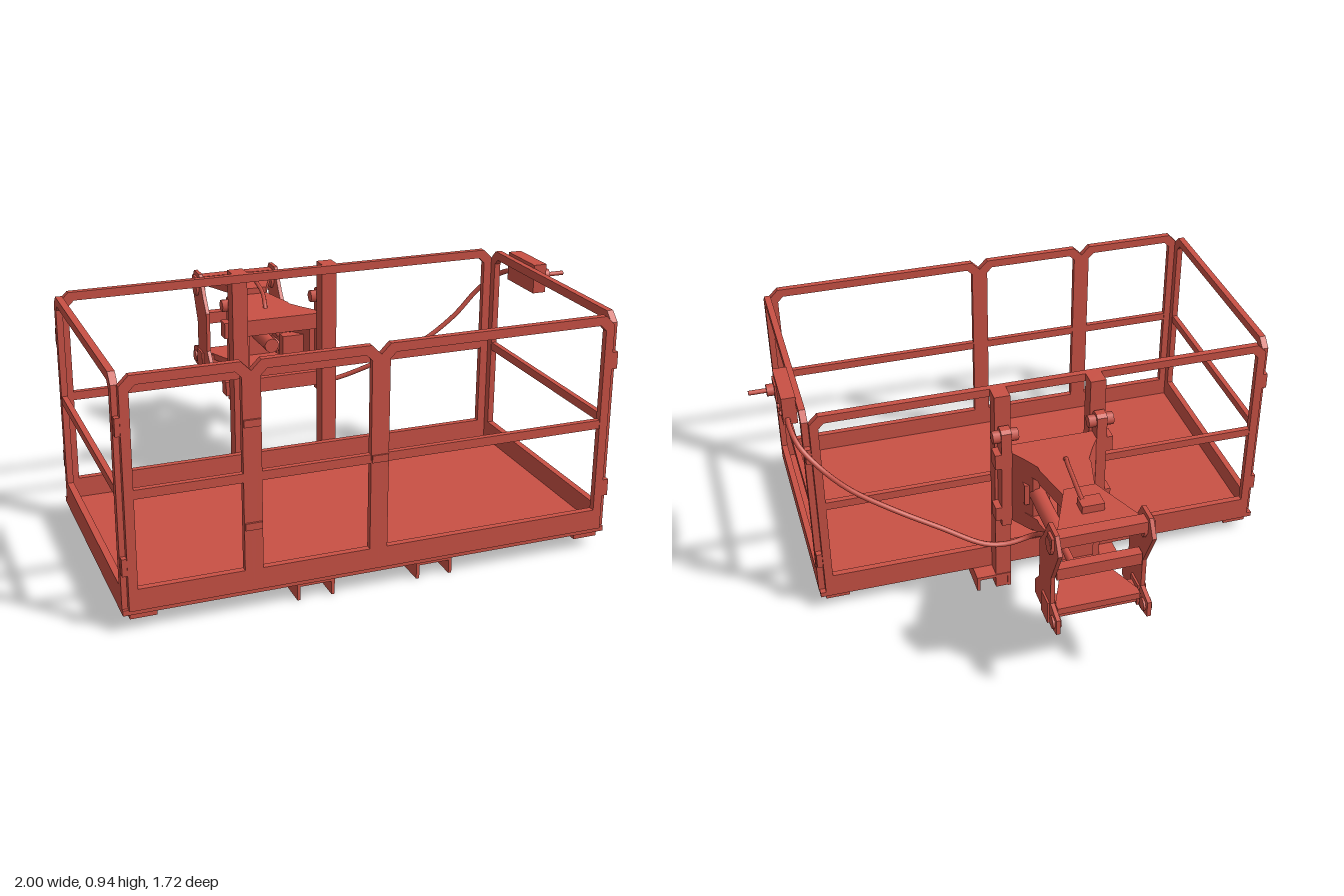
import * as THREE from 'three';

export function createModel() {
  const model = new THREE.Group();
  model.name = 'workBasket';
  const red = new THREE.MeshStandardMaterial({ color: 0xc95145 });
  red.name = 'red paint';
  const CX = -0.0785; // centre line of the mounting

  const add = (name, geo) => {
    const m = new THREE.Mesh(geo, red);
    m.name = name;
    model.add(m);
    return m;
  };
  // box from min/max corners
  const box = (name, x0, x1, y0, y1, z0, z1) =>
    add(name, new THREE.BoxGeometry(x1 - x0, y1 - y0, z1 - z0)
      .translate((x0 + x1) / 2, (y0 + y1) / 2, (z0 + z1) / 2));
  const polygon = (pts) => new THREE.Shape(pts.map(([a, b]) => new THREE.Vector2(a, b)));
  const extrude = (shape, depth) => new THREE.ExtrudeGeometry(shape, { depth, bevelEnabled: false });
  // horizontal plate from (x, z) outline
  const slab = (name, pts, y0, y1) =>
    add(name, extrude(polygon(pts), y1 - y0).rotateX(Math.PI / 2).translate(0, y1, 0));
  // upright plate from (z, y) outline
  const sidePlate = (name, pts, x0, x1) =>
    add(name, extrude(polygon(pts), x1 - x0).rotateY(-Math.PI / 2).translate(x1, 0, 0));
  // cylinder along x
  const rodX = (name, x0, x1, y, z, r, sides = 12) =>
    add(name, new THREE.CylinderGeometry(r, r, x1 - x0, sides).toNonIndexed()
      .rotateZ(Math.PI / 2).translate((x0 + x1) / 2, y, z));
  const rodZ = (name, x, y, z0, z1, r) =>
    add(name, new THREE.CylinderGeometry(r, r, z1 - z0, 14).rotateX(Math.PI / 2).translate(x, y, (z0 + z1) / 2));
  const hose = (name, pts, r) =>
    add(name, new THREE.TubeGeometry(
      new THREE.CatmullRomCurve3(pts.map((p) => new THREE.Vector3(...p))), 60, r, 8));

  // guard panel: chamfered frame with toe board and mid rail
  const panelGeo = (a, b) => {
    const w = 0.033, c = 0.035, y0 = 0.085, y1 = 0.922;
    const outline = (l, r, bot, top, k) =>
      [[l, bot], [r, bot], [r, top - k], [r - k, top], [l + k, top], [l, top - k]];
    const s = polygon(outline(a, b, y0, y1, c));
    s.holes.push(polygon(outline(a + w, b - w, 0.165, y1 - w, 0.022)));
    return extrude(s, 0.025);
  };

  // floor and corner feet
  box('floor', -1, 0.842, 0.066, 0.086, -0.13, 0.84);
  for (const [x, sx] of [[-0.975, 1], [0.82, -1]]) {
    for (const [z, sz] of [[0.83, -1], [-0.12, 1]]) {
      slab('cornerFoot', [[x, z], [x + sx * 0.095, z], [x + sx * 0.095, z + sz * 0.035],
        [x + sx * 0.035, z + sz * 0.095], [x, z + sz * 0.095]], 0.045, 0.066);
    }
  }

  // front panels, with a gate in the middle, and the back panel
  for (const [name, a, b, z] of [['frontLeftPanel', -0.08, 0.82, 0.827], ['gate', -0.54, -0.08, 0.827],
    ['frontRightPanel', -0.98, -0.54, 0.827], ['backPanel', -0.98, 0.82, -0.13]]) {
    add(name, panelGeo(a, b).translate(0, 0, z));
    box(name + 'MidRail', a + 0.03, b - 0.03, 0.492, 0.525, z + 0.002, z + 0.023);
  }
  // side panels
  for (const x of [-0.975, 0.845]) {
    add('sidePanel', panelGeo(-0.105, 0.828).rotateY(-Math.PI / 2).translate(x, 0, 0));
    box('sideMidRail', x - 0.023, x - 0.002, 0.492, 0.525, -0.08, 0.8);
  }
  // corner clamps
  for (const x of [-0.987, 0.832])
    for (const z of [-0.118, 0.838])
      for (const y of [0.25, 0.75]) {
        box('cornerClamp', x - 0.011, x + 0.011, y - 0.032, y + 0.032, z - 0.012, z + 0.012);
      }
  // gate hinges and latch
  for (const y of [0.33, 0.705]) {
    box('gateHinge', -0.57, -0.51, y - 0.013, y + 0.013, 0.85, 0.86);
  }
  box('gateLatch', -0.11, -0.05, 0.495, 0.522, 0.85, 0.858);

  // fork channels, uprights and their lugs
  for (const s of [-1, 1]) {
    const inner = CX + s * 0.158, outer = CX + s * 0.298;
    const lo = Math.min(inner, outer), hi = Math.max(inner, outer);
    box('forkChannelTop', lo, hi, 0.052, 0.066, -0.195, 0.83);
    box('forkChannelWall', lo, lo + 0.012, 0, 0.066, -0.195, 0.83);
    box('forkChannelWall', hi - 0.012, hi, 0, 0.066, -0.195, 0.83);
    const ux = CX + s * 0.188;
    box('upright', ux - 0.031, ux + 0.031, 0, 0.922, -0.192, -0.13);
    sidePlate('uprightLug', [[-0.19, 0.36], [-0.25, 0.36], [-0.25, 0.79], [-0.235, 0.8], [-0.205, 0.8], [-0.19, 0.78]],
      ux - 0.02, ux + 0.02);
    rodX('lugPin', ux - 0.05, ux + 0.05, 0.767, -0.222, 0.025, 6);
    // slanted arm plate
    const p = (x, z) => [CX + s * x, z];
    slab('slantedArm', [p(0.17, -0.245), p(0.145, -0.245), p(0.085, -0.335), p(0.11, -0.335)], 0.38, 0.7);
  }

  // cross bars and tapering boom plates, upper and lower
  const mirrored = (half) => [...half.map(([x, z]) => [CX - x, z]),
    ...half.slice().reverse().map(([x, z]) => [CX + x, z])];
  for (const [y0, y1] of [[0.635, 0.7], [0.39, 0.45]]) {
    box('crossBar', CX - 0.233, CX + 0.233, y0, y1, -0.25, -0.195);
    slab('boomPlate', mirrored([[0.165, -0.245], [0.1, -0.36], [0.1, -0.385], [0.062, -0.545]]), y0, y1);
  }
  box('boomWeb', CX - 0.062, CX + 0.062, 0.39, 0.7, -0.545, -0.48);

  // rear coupling plates
  const fan = mirrored([[0.06, -0.545], [0.157, -0.77], [0.157, -0.8]]);
  slab('upperCouplingPlate', fan, 0.695, 0.725);
  slab('lowerCouplingPlate', fan, 0.365, 0.392);
  rodZ('pivotPin', CX, 0.545, -0.56, -0.3, 0.03);
  rodZ('cylinderBody', 0.01, 0.548, -0.61, -0.29, 0.032);
  rodZ('cylinderRod', 0.01, 0.545, -0.78, -0.6, 0.014);
  box('cylinderMount', -0.04, 0.06, 0.5, 0.59, -0.32, -0.27);
  box('rodAnchor', CX - 0.16, CX + 0.16, 0.52, 0.57, -0.79, -0.75);

  // hook plates
  const hook = [[-0.594, 0.31], [-0.79, 0.31], [-0.857, 0.325], [-0.857, 0.39], [-0.783, 0.41], [-0.783, 0.53],
    [-0.86, 0.687], [-0.82, 0.75], [-0.742, 0.75], [-0.69, 0.66], [-0.645, 0.6], [-0.645, 0.43], [-0.594, 0.37]];
  for (const s of [-1, 1]) {
    const x = CX + s * 0.172;
    sidePlate('hookPlate', hook, x - 0.008, x + 0.008);
    rodX('hookBoss', x - 0.02, x + 0.02, 0.682, -0.78, 0.035, 6);
    rodX('lowerBoss', x - 0.016, x + 0.016, 0.355, -0.82, 0.025, 8);
    box('hookBlock', x - 0.016, x + 0.016, 0.312, 0.405, -0.775, -0.7);
  }
  box('upperHookBar', CX - 0.19, CX + 0.19, 0.685, 0.732, -0.815, -0.765);
  box('lowerHookBar', CX - 0.17, CX + 0.17, 0.325, 0.385, -0.77, -0.71);

  // hoses
  box('hoseBlock', CX - 0.042, CX + 0.042, 0.725, 0.756, -0.7, -0.64);
  hose('shortHose', [[-0.05, 0.752, -0.66], [-0.06, 0.748, -0.55], [-0.075, 0.735, -0.42], [-0.09, 0.71, -0.35],
    [-0.09, 0.66, -0.325], [-0.04, 0.58, -0.325]], 0.009);
  hose('controlHose', [[0, 0.55, -0.58], [0.02, 0.45, -0.45], [0.04, 0.37, -0.35], [0.13, 0.345, -0.34],
    [0.22, 0.355, -0.33], [0.38, 0.425, -0.27], [0.55, 0.51, -0.215], [0.7, 0.62, -0.195], [0.8, 0.73, -0.18],
    [0.86, 0.8, -0.13], [0.88, 0.836, -0.06], [0.88, 0.842, 0.01]], 0.0105);

  // control box with joystick and buttons
  box('controlBox', 0.843, 0.897, 0.82, 0.935, 0, 0.215);
  box('joystickPlate', 0.895, 0.904, 0.84, 0.912, 0.128, 0.202);
  rodX('joystickBase', 0.9, 0.932, 0.876, 0.165, 0.024, 10);
  rodX('joystick', 0.93, 1, 0.876, 0.165, 0.009);
  for (const z of [0.03, 0.08]) rodX('button', 0.895, 0.906, 0.855, z, 0.009);

  return model;
}
